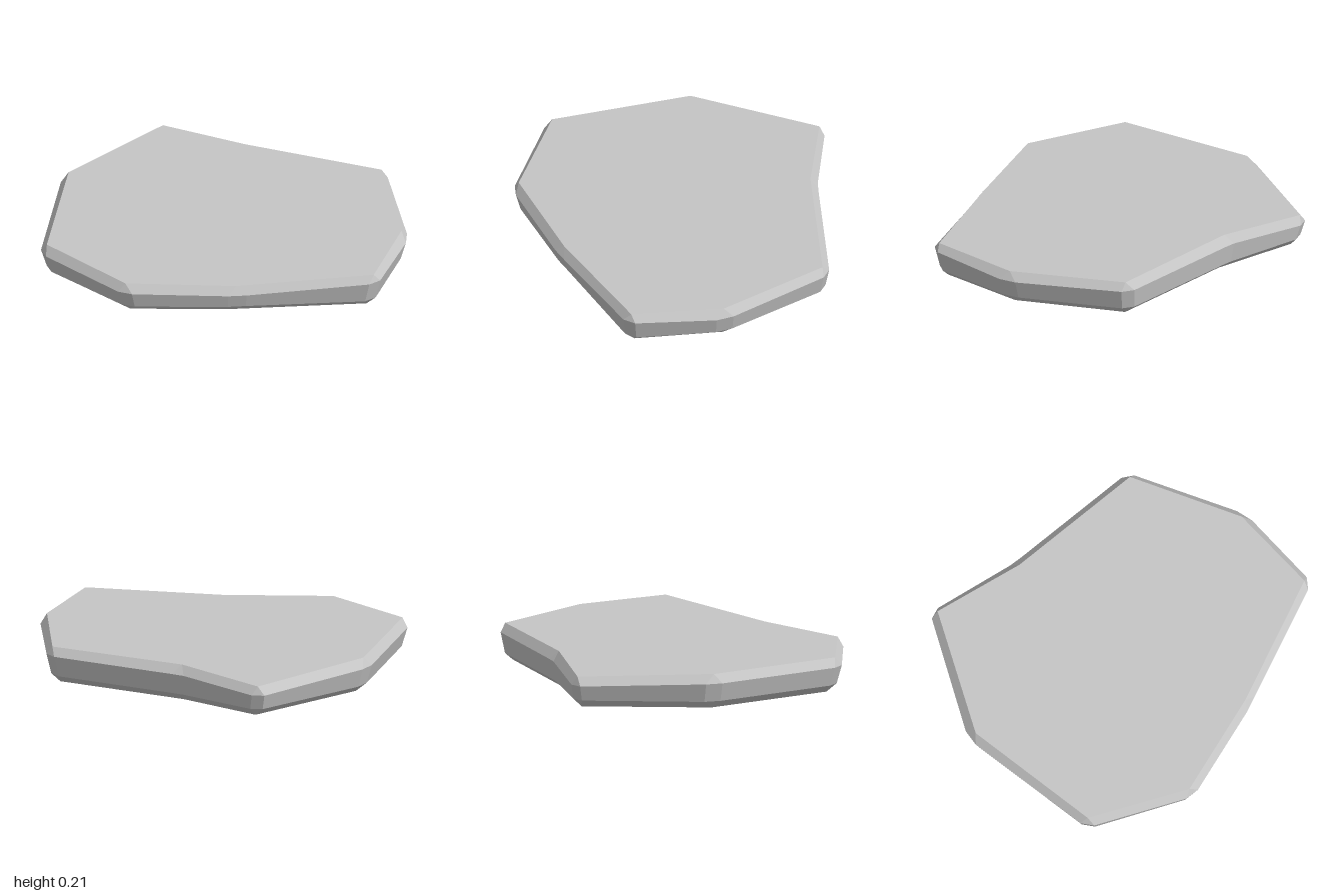
import * as THREE from 'three';

// Each corner, clockwise from above: top point, top height, rim height, and the two rim points of its chamfer.
// The first is the inward corner, which sees every other one.
const corners = [
  { top: [0.01, -0.67], y: 0.21, rimY: 0.16, rim: [[-0.01, -0.72], [0.06, -0.70]] },
  { top: [0.79, -0.485], y: 0.205, rimY: 0.16, rim: [[0.77, -0.53], [0.825, -0.48]] },
  { top: [0.97, 0.15], y: 0.198, rimY: 0.15, rim: [[0.995, 0.10], [1.0, 0.20]] },
  { top: [0.87, 0.655], y: 0.205, rimY: 0.165, rim: [[0.905, 0.645], [0.85, 0.695]] },
  { top: [0.12, 0.80], y: 0.17, rimY: 0.125, rim: [[0.18, 0.82], [0.08, 0.84]] },
  { top: [-0.49, 0.865], y: 0.187, rimY: 0.137, rim: [[-0.45, 0.895], [-0.53, 0.875]] },
  { top: [-0.965, 0.515], y: 0.2, rimY: 0.15, rim: [[-0.965, 0.56], [-1.0, 0.49]] },
  { top: [-0.93, -0.28], y: 0.2, rimY: 0.15, rim: [[-0.97, -0.25], [-0.94, -0.34]] },
  { top: [-0.47, -0.88], y: 0.178, rimY: 0.13, rim: [[-0.51, -0.89], [-0.44, -0.90]] },
];

const V = (x, y, z) => new THREE.Vector3(x, y, z);

// Mesh of flat-shaded polygons, each fanned from its first corner with one shared normal
function facetMesh(name, polygons, material) {
  const points = [], normals = [];
  for (const polygon of polygons) {
    const normal = V(0, 0, 0);
    const fan = [];
    for (let i = 1; i < polygon.length - 1; i++) {
      const [a, b, c] = [polygon[0], polygon[i], polygon[i + 1]];
      const cross = b.clone().sub(a).cross(c.clone().sub(a));
      if (cross.length() < 1e-7) continue;
      normal.add(cross);
      fan.push(a, b, c);
    }
    normal.normalize();
    points.push(...fan);
    normals.push(...fan.flatMap(() => normal.toArray()));
  }
  const geometry = new THREE.BufferGeometry().setFromPoints(points);
  geometry.setAttribute('normal', new THREE.Float32BufferAttribute(normals, 3));
  const mesh = new THREE.Mesh(geometry, material);
  mesh.name = name;
  return mesh;
}

// Band of quads between two rings
const band = (upper, lower) => upper.map((a, i) => {
  const j = (i + 1) % upper.length;
  return [a, upper[j], lower[j], lower[i]];
});

export function createModel() {
  const stone = new THREE.MeshStandardMaterial({ color: 0xc5c5c5 });
  stone.name = 'grey stone';

  // Rings with two points per corner; top and bottom pinch to one
  const ring = (fn) => corners.flatMap((c) => c.rim.map((r) => fn(c, r)));
  const top = ring((c) => V(c.top[0], c.y, c.top[1]));
  const rim = ring((c, r) => V(r[0], c.rimY, r[1]));
  const foot = ring((c, r) => V(r[0] * 0.97, 0.045, r[1] * 0.975));
  const bottom = ring((c) => V(c.top[0] * 0.95, 0, c.top[1] * 0.95));

  const [first, ...others] = top;
  const slab = new THREE.Group();
  slab.name = 'stoneSlab';
  slab.add(
    facetMesh('topFace', [[first, ...others.reverse()]], stone),
    facetMesh('upperBevel', band(top, rim), stone),
    facetMesh('sideWall', band(rim, foot), stone),
    facetMesh('lowerBevel', band(foot, bottom), stone),
    facetMesh('underside', [bottom], stone),
  );
  return slab;
}
